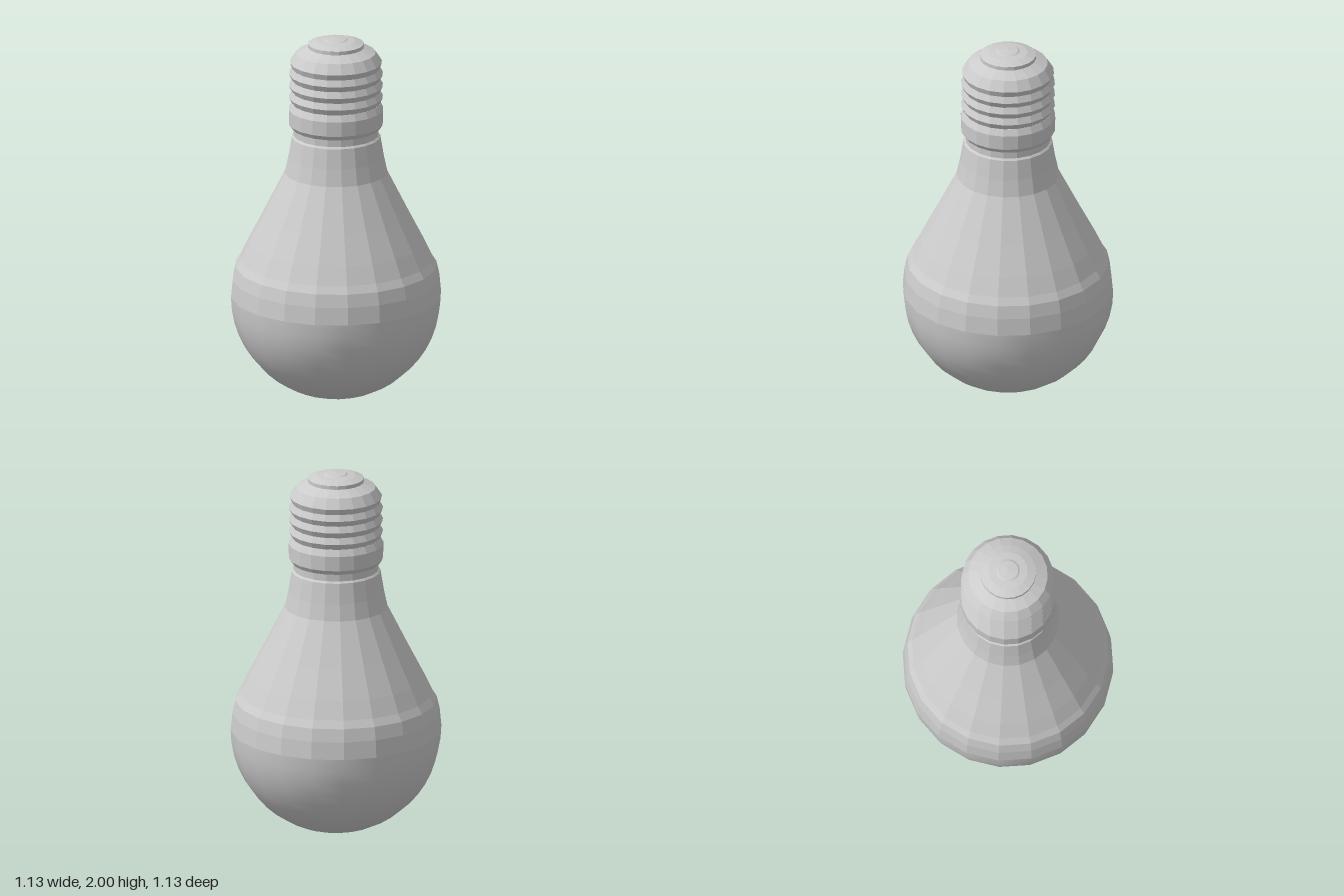
import * as THREE from 'three';

const SIDES = 20;
const faceted = new THREE.MeshStandardMaterial({ color: 0xcccccc, flatShading: true });
const smooth = new THREE.MeshStandardMaterial({ color: 0xcccccc });

// Turn a [radius, height] profile, listed from bottom to top, around y
function turned(name, profile, material = faceted) {
  const points = profile.map(([r, y]) => new THREE.Vector2(r, y));
  const mesh = new THREE.Mesh(new THREE.LatheGeometry(points, SIDES), material);
  mesh.name = name;
  return mesh;
}

export function createModel() {
  const group = new THREE.Group();
  group.name = 'lightBulb';

  // Smooth lower half of the glass
  const R = 0.565;
  const bowl = [];
  for (let i = 0; i <= 12; i++) {
    const a = (i / 12) * Math.PI / 2;
    bowl.push([R * Math.sin(a), R * (1 - Math.cos(a))]);
  }
  group.add(turned('glassBowl', bowl, smooth));

  // Faceted upper glass, narrowing to the neck
  group.add(turned('glassNeck', [
    [R, R], [0.556, 0.66], [0.54, 0.73], [0.515, 0.77], [0.47, 0.865],
    [0.39, 1.02], [0.335, 1.13], [0.275, 1.25], [0.256, 1.34],
    [0.243, 1.42], [0.238, 1.45], [0.228, 1.46],
  ]));

  // Metal collar below the thread
  group.add(turned('collar', [
    [0.228, 1.46], [0.228, 1.50], [0.236, 1.50], [0.253, 1.525],
    [0.254, 1.605], [0.236, 1.64],
  ]));

  // Ridged screw thread
  const thread = [];
  for (let i = 0; i < 4; i++) {
    const y = 1.64 + i * 0.065;
    thread.push([0.235, y], [i < 3 ? 0.252 : 0.247, y + 0.032]);
  }
  thread.push([0.213, 1.92], [0.15, 1.95]);
  group.add(turned('screwThread', thread));

  // Insulating disc and contact at the end of the base
  group.add(turned('endDisc', [
    [0.15, 1.95], [0.15, 1.97], [0.105, 1.985], [0.063, 1.99],
  ]));
  group.add(turned('contact', [
    [0.063, 1.985], [0.063, 1.99], [0.055, 1.995], [0, 2],
  ]));
  return group;
}
